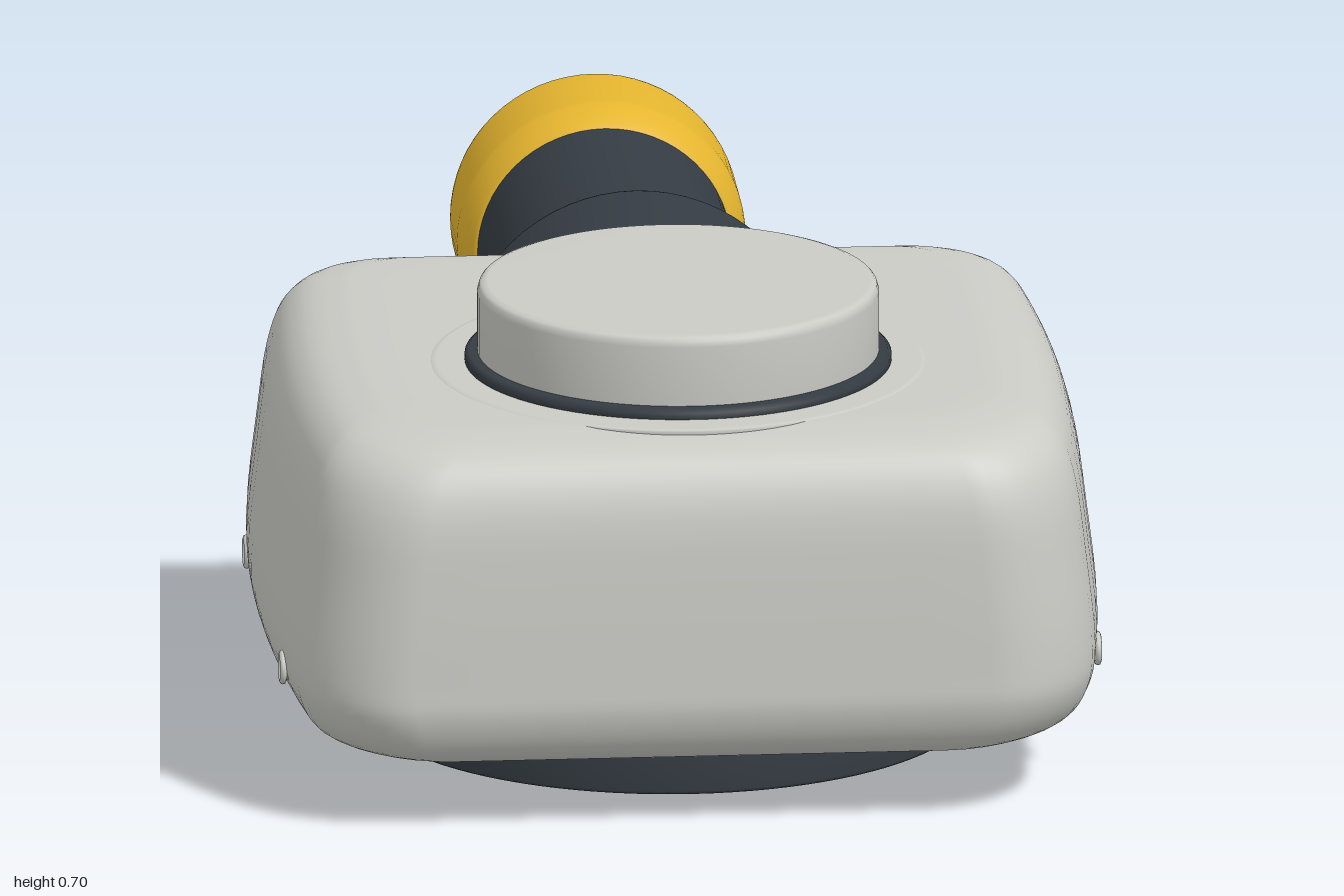
import * as THREE from 'three';

const V2 = (p) => new THREE.Vector2(p[0], p[1]);
const mat = (color) => new THREE.MeshStandardMaterial({ color, roughness: 0.6 });

// Smooth turned part whose profile corners stay crisp: each bend is a tiny chamfer
function lathe(name, pts, material, segments = 64) {
  const out = [];
  pts.forEach((p, i) => {
    const v = V2(p);
    if (i === 0 || i === pts.length - 1) return out.push(v);
    for (const q of [V2(pts[i - 1]), V2(pts[i + 1])]) {
      const d = q.sub(v);
      out.push(v.clone().addScaledVector(d, Math.min(0.006 / d.length(), 0.3)));
    }
  });
  const mesh = new THREE.Mesh(new THREE.LatheGeometry(out, segments), material);
  mesh.name = name;
  return mesh;
}

// Horizontal outline of the housing: rounded rectangle with softly bowed sides
function outline(w, zf, zb) {
  const corners = [[1, 1, 0.15], [-1, 1, 0.15], [-1, -1, 0.09], [1, -1, 0.09]];
  const raw = [];
  corners.forEach(([sx, sz, r], k) => {
    for (let i = 0; i <= 8; i++) {
      const a = (k + i / 8) * Math.PI / 2;
      raw.push([sx * (w - r) + r * Math.cos(a), (sz > 0 ? zf - r : zb + r) + r * Math.sin(a)]);
    }
  });
  const pts = [];
  raw.forEach((p, i) => {
    pts.push(p);
    if (i % 9 !== 8) return;
    const q = raw[(i + 1) % raw.length];
    for (let s = 1; s < 10; s++) pts.push([p[0] + (q[0] - p[0]) * s / 10, p[1] + (q[1] - p[1]) * s / 10]);
  });
  return pts.map(([x, z]) => [x * (1 - 0.06 * ((z - 0.42) / 0.5) ** 2), z]);
}

// Housing lofted upward through outlines
function housingGeometry() {
  // half width, height, front z
  const profile = new THREE.CatmullRomCurve3([
    [0.47, 0.088, 0.87], [0.53, 0.1, 0.94], [0.575, 0.13, 0.978], [0.6, 0.18, 0.998],
    [0.605, 0.23, 0.998], [0.59, 0.37, 0.992], [0.575, 0.47, 0.982], [0.555, 0.525, 0.962],
    [0.52, 0.558, 0.93], [0.45, 0.575, 0.85],
  ].map((p) => new THREE.Vector3(...p)));
  const steps = 36;
  const rings = profile.getPoints(steps).map((p) => {
    const inset = Math.max(0, (0.605 - p.x) / 0.145);
    const zb = -0.047 + (p.y < 0.3 ? 0.08 : 0.03) * inset ** 3;
    return outline(p.x, p.z, zb).map(([x, z]) => [x, p.y, z]);
  });
  // flat margins so the top and bottom shade evenly
  const shrink = (ring) => ring.map(([x, y, z]) => [x * 0.85, y, 0.42 + (z - 0.42) * 0.92]);
  rings.unshift(shrink(rings[0]));
  rings.push(shrink(rings[rings.length - 1]));

  const n = rings[0].length, pos = rings.flat(2), idx = [];
  for (let i = 0; i < rings.length - 1; i++) {
    for (let j = 0; j < n; j++) {
      const a = i * n + j, b = i * n + (j + 1) % n;
      idx.push(a, a + n, b, b, a + n, b + n);
    }
  }
  const bottom = pos.length / 3, top = bottom + 1, last = (rings.length - 1) * n;
  pos.push(0, 0.088, 0.42, 0, 0.575, 0.42);
  for (let j = 0; j < n; j++) {
    const k = (j + 1) % n;
    idx.push(bottom, j, k, top, last + k, last + j);
  }
  const g = new THREE.BufferGeometry();
  g.setAttribute('position', new THREE.Float32BufferAttribute(pos, 3));
  g.setIndex(idx);
  g.computeVertexNormals();
  return g;
}

export function createModel() {
  const model = new THREE.Group();
  model.name = 'viewerHead';
  const shell = mat(0xcacbc5), dark = mat(0x353c43), black = mat(0x22262a), yellow = mat(0xe5b52f);
  black.side = THREE.DoubleSide;

  const housing = new THREE.Mesh(housingGeometry(), shell);
  housing.name = 'housing';
  model.add(housing);

  // Mounting disc underneath
  const base = lathe('mountingDisc', [[0, 0], [0.443, 0], [0.443, 0.084], [0.43, 0.1], [0, 0.1]], dark, 96);
  base.position.z = 0.36;
  const seat = lathe('mountingSeat', [[0, 0.084], [0.49, 0.084], [0.49, 0.1], [0, 0.1]], shell, 96);
  seat.position.z = 0.36;
  model.add(base, seat);

  // Round cap on top: flat pad, dark seal, knob
  const cap = new THREE.Group();
  cap.name = 'topCap';
  cap.position.z = 0.532;
  cap.add(
    lathe('capPad', [[0, 0.53], [0.345, 0.53], [0.36, 0.572], [0.355, 0.577], [0, 0.577]], shell, 96),
    lathe('capSeal', [[0, 0.57], [0.308, 0.57], [0.308, 0.592], [0, 0.592]], dark, 96),
    lathe('capKnob', [[0, 0.585], [0.29, 0.585], [0.29, 0.686], [0.281, 0.696], [0, 0.696]], shell, 96),
  );
  model.add(cap);

  // Eyepiece tube; its lathe axis points to the back
  const eyepiece = new THREE.Group();
  eyepiece.name = 'eyepiece';
  eyepiece.position.y = 0.345;
  eyepiece.rotation.x = -Math.PI / 2;
  eyepiece.add(
    lathe('collar', [[0, 0.03], [0.255, 0.03], [0.257, 0.232], [0.25, 0.238], [0, 0.238]], dark),
    lathe('barrel', [[0.18, 0.22], [0.203, 0.235], [0.203, 0.335], [0.196, 0.352], [0.184, 0.37], [0.184, 0.79]], dark),
    lathe('eyecup', [[0.18, 0.78], [0.187, 0.78], [0.2, 0.806], [0.209, 0.835], [0.209, 0.965], [0.206, 0.985],
      [0.195, 0.998], [0.175, 1], [0.152, 0.993], [0.135, 0.975], [0.128, 0.95]], yellow),
    lathe('eyecupBore', [[0, 0.8], [0.128, 0.8], [0.128, 0.951]], black),
  );
  model.add(eyepiece);

  // Small screws low on both sides
  for (const side of [-1, 1]) {
    for (const [z, x] of [[0.745, 0.59], [0.165, 0.595]]) {
      const screw = new THREE.Group();
      screw.name = 'sideScrew';
      const rim = new THREE.Mesh(new THREE.TorusGeometry(0.02, 0.005, 8, 20), shell);
      rim.name = 'screwRim';
      const head = new THREE.Mesh(new THREE.CylinderGeometry(0.018, 0.018, 0.02, 20), shell);
      head.name = 'screwHead';
      head.rotation.x = Math.PI / 2;
      head.position.z = -0.008;
      screw.add(rim, head);
      screw.position.set(side * x, 0.19, z);
      screw.rotation.y = side * Math.PI / 2;
      model.add(screw);
    }
  }
  return model;
}
